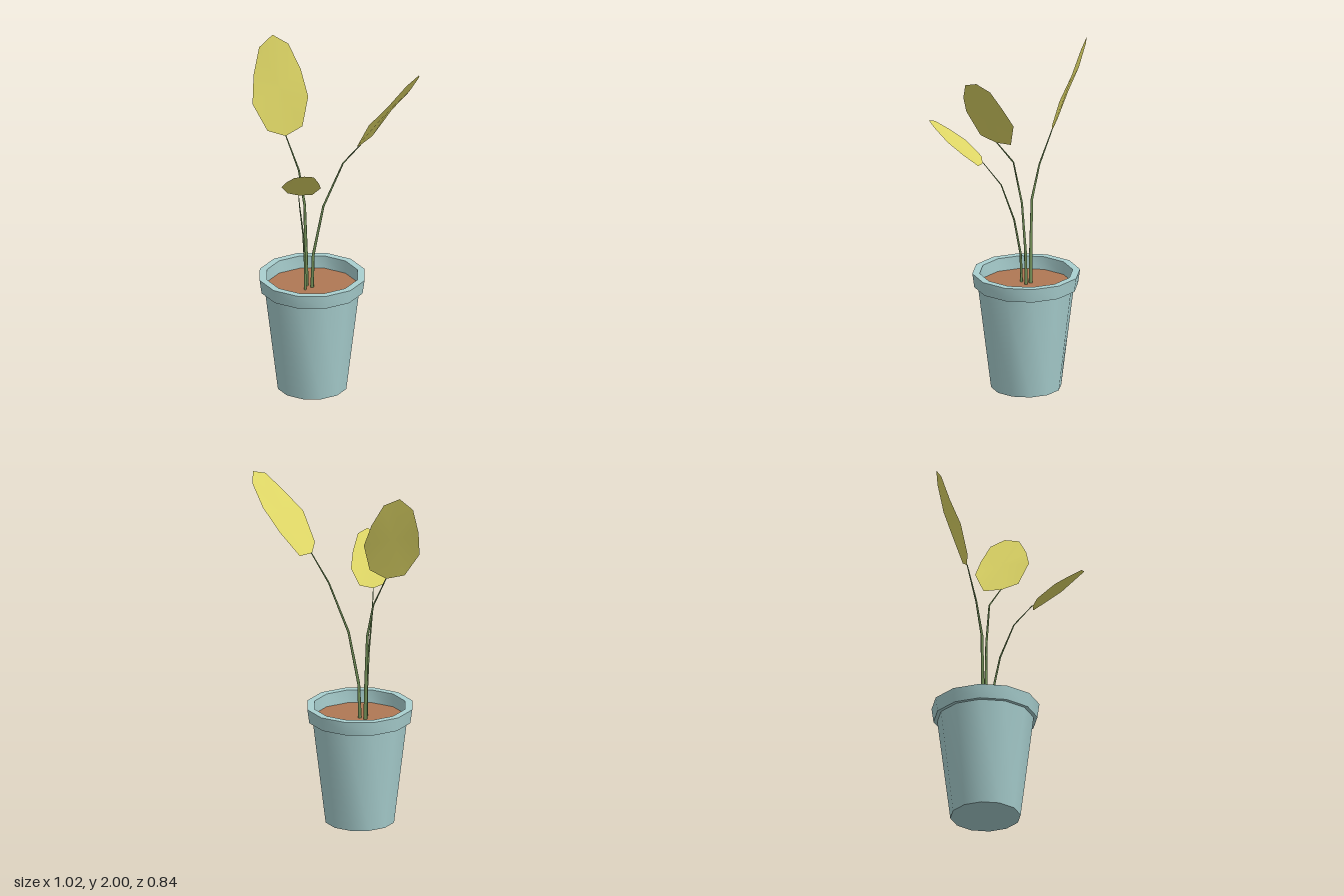
import * as THREE from 'three';
import { toCreasedNormals } from 'three/addons/utils/BufferGeometryUtils.js';

const TURN = THREE.MathUtils.degToRad(4);
const SOIL_Y = 0.6;

const material = (name, color) => {
  const m = new THREE.MeshStandardMaterial({ color });
  m.name = name;
  return m;
};

// Tapered tube with straight runs between the given points
function stemGeometry(points, r0, r1) {
  const p = points.map((a) => new THREE.Vector3(...a));
  const n = p.length - 1, sides = 6;
  const curve = new THREE.Curve();
  curve.getPoint = (t) => {
    const i = Math.min(Math.floor(t * n + 1e-6), n - 1);
    return p[i].clone().lerp(p[i + 1], t * n - i);
  };
  curve.getPointAt = curve.getPoint;
  curve.getTangentAt = (t) => curve.getTangent(t);
  const geo = new THREE.TubeGeometry(curve, n, 1, sides, false);
  const pos = geo.attributes.position, v = new THREE.Vector3();
  for (let k = 0; k < pos.count; k++) {
    const i = Math.floor(k / (sides + 1));
    v.fromBufferAttribute(pos, k).sub(p[i]).multiplyScalar(THREE.MathUtils.lerp(r0, r1, i / n)).add(p[i]);
    pos.setXYZ(k, v.x, v.y, v.z);
  }
  return geo;
}

// Leaf blade: a fan from the centre to the rim points
function leafGeometry(rim) {
  const centre = [0, 1, 2].map((a) => rim.reduce((s, q) => s + q[a], 0) / rim.length);
  const index = [];
  rim.forEach((_, i) => index.push(0, i + 1, ((i + 1) % rim.length) + 1));
  const geo = new THREE.BufferGeometry();
  geo.setAttribute('position', new THREE.Float32BufferAttribute([centre, ...rim].flat(), 3));
  geo.setIndex(index);
  geo.computeVertexNormals();
  return geo;
}

// Each shoot: stem path from soil to leaf, then leaf rim starting at the stem
const shoots = [
  {
    name: 'tallLeft',
    stem: [[-0.155, 0.58, -0.128], [-0.158, 0.8, -0.128], [-0.167, 1.09, -0.13], [-0.21, 1.285, -0.155], [-0.3, 1.47, -0.19]],
    radius: [0.012, 0.003],
    rim: [
      [-0.3, 1.465, -0.19], [-0.215, 1.52, -0.23], [-0.2, 1.68, -0.285], [-0.26, 1.82, -0.33], [-0.34, 1.955, -0.35],
      [-0.43, 2.0, -0.34], [-0.495, 1.93, -0.3], [-0.51, 1.78, -0.25], [-0.495, 1.63, -0.19], [-0.4, 1.49, -0.17],
    ],
  },
  {
    name: 'tallRight',
    stem: [[-0.12, 0.58, -0.118], [-0.112, 0.8, -0.118], [-0.055, 1.1, -0.125], [0.06, 1.38, -0.13], [0.18, 1.53, -0.085]],
    radius: [0.01, 0.003],
    rim: [
      [0.175, 1.525, -0.08], [0.19, 1.56, 0.01], [0.275, 1.72, 0.055], [0.38, 1.84, 0.02], [0.465, 1.95, -0.035],
      [0.508, 1.985, -0.125], [0.485, 1.94, -0.2], [0.41, 1.82, -0.24], [0.305, 1.69, -0.255], [0.21, 1.54, -0.19],
    ],
  },
  {
    name: 'shortFront',
    stem: [[-0.145, 0.58, -0.077], [-0.145, 0.76, -0.072], [-0.142, 0.96, -0.032], [-0.135, 1.155, 0.045], [-0.107, 1.28, 0.145]],
    radius: [0.008, 0.002],
    rim: [
      [-0.105, 1.275, 0.145], [-0.03, 1.285, 0.135], [0.04, 1.36, 0.19], [0.06, 1.43, 0.28], [0.06, 1.505, 0.365],
      [0.022, 1.525, 0.415], [-0.04, 1.505, 0.41], [-0.105, 1.445, 0.355], [-0.16, 1.375, 0.28], [-0.16, 1.295, 0.18],
    ],
  },
];

export function createModel() {
  const model = new THREE.Group();
  model.name = 'pottedPlant';
  const glaze = material('paleTeal', 0xa9d0d0);
  const earth = material('earthBrown', 0xb07854);
  const green = material('stemGreen', 0x76945a);
  const yellow = material('leafYellow', 0xdfd766);
  yellow.side = THREE.DoubleSide;

  const add = (parent, name, geo, mat) => {
    const mesh = new THREE.Mesh(geo, mat);
    mesh.name = name;
    parent.add(mesh);
    return mesh;
  };

  // Twelve-sided pot with a projecting rim and hollow top
  const potGroup = new THREE.Group();
  potGroup.name = 'pot';
  potGroup.position.set(-0.119, 0, -0.119);
  model.add(potGroup);
  const profile = [
    [0, 0], [0.197, 0], [0.27, 0.595], [0.291, 0.595], [0.302, 0.675], [0.261, 0.675], [0.261, SOIL_Y - 0.01],
  ].map(([r, y]) => new THREE.Vector2(r, y));
  add(potGroup, 'potShell', toCreasedNormals(new THREE.LatheGeometry(profile, 12, TURN), 0.7), glaze);

  // Soil disc
  const soil = new THREE.CircleGeometry(0.261, 12, TURN).rotateX(-Math.PI / 2).translate(0, SOIL_Y, 0);
  add(potGroup, 'soil', soil, earth);

  // Shoots
  for (const { name, stem, radius, rim } of shoots) {
    const shoot = new THREE.Group();
    shoot.name = name + 'Shoot';
    add(shoot, name + 'Stem', stemGeometry(stem, ...radius), green);
    add(shoot, name + 'Leaf', leafGeometry(rim), yellow);
    model.add(shoot);
  }
  return model;
}
